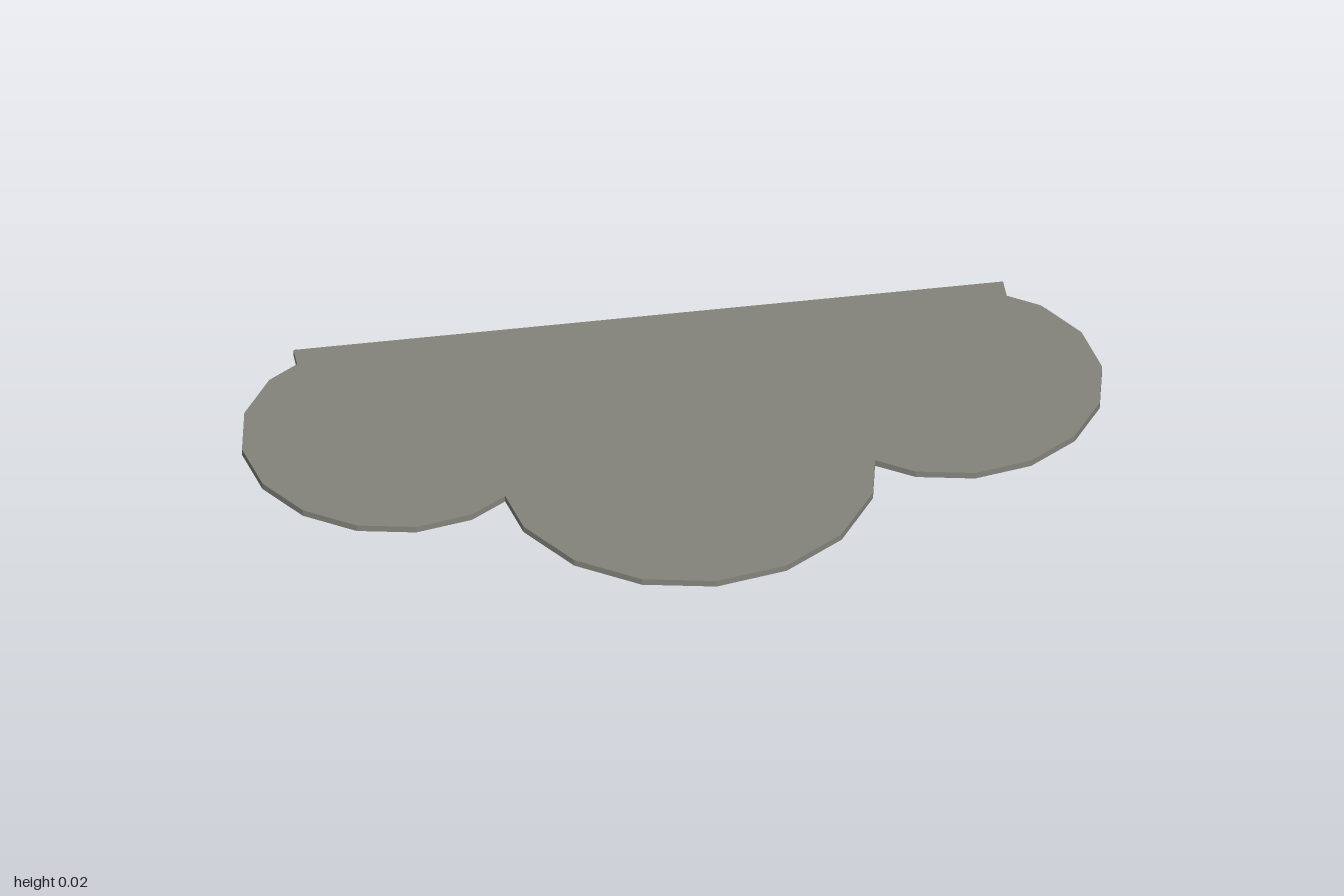
import * as THREE from 'three';

const THICKNESS = 0.016;
const STEP = Math.PI / 8; // lobes are 16-sided circles

// Points [x, z] on a faceted lobe, from step a down to step b (step 4 faces +z)
function lobeArc(cx, cz, r, a, b) {
  const points = [];
  for (let k = a; k >= b; k--) {
    points.push([cx + r * Math.cos(k * STEP), cz + r * Math.sin(k * STEP)]);
  }
  return points;
}

export function createModel() {
  const group = new THREE.Group();
  group.name = 'scallopedSlab';

  // Left half of the outline, from the front tip round to the back edge
  const half = [
    ...lobeArc(0, 0.064, 0.44, 4, 1), // front lobe
    [0.43, 0.113], // notch between the lobes
    ...lobeArc(0.65, -0.154, 0.35, 5, -2), // side lobe
    [0.825, -0.45], // step into the straight back
    [0.825, -0.504],
  ];
  const mirrored = half.slice(1).reverse().map(([x, z]) => [-x, z]);
  const outline = [...half, ...mirrored].map(([x, z]) => new THREE.Vector2(x, -z));

  // Flat slab lying on the ground
  const geometry = new THREE.ExtrudeGeometry(new THREE.Shape(outline), {
    depth: THICKNESS,
    bevelEnabled: false,
  });
  geometry.rotateX(-Math.PI / 2);

  const slab = new THREE.Mesh(
    geometry,
    new THREE.MeshStandardMaterial({ color: 0x84847b, flatShading: true })
  );
  slab.name = 'slab';
  group.add(slab);
  return group;
}
